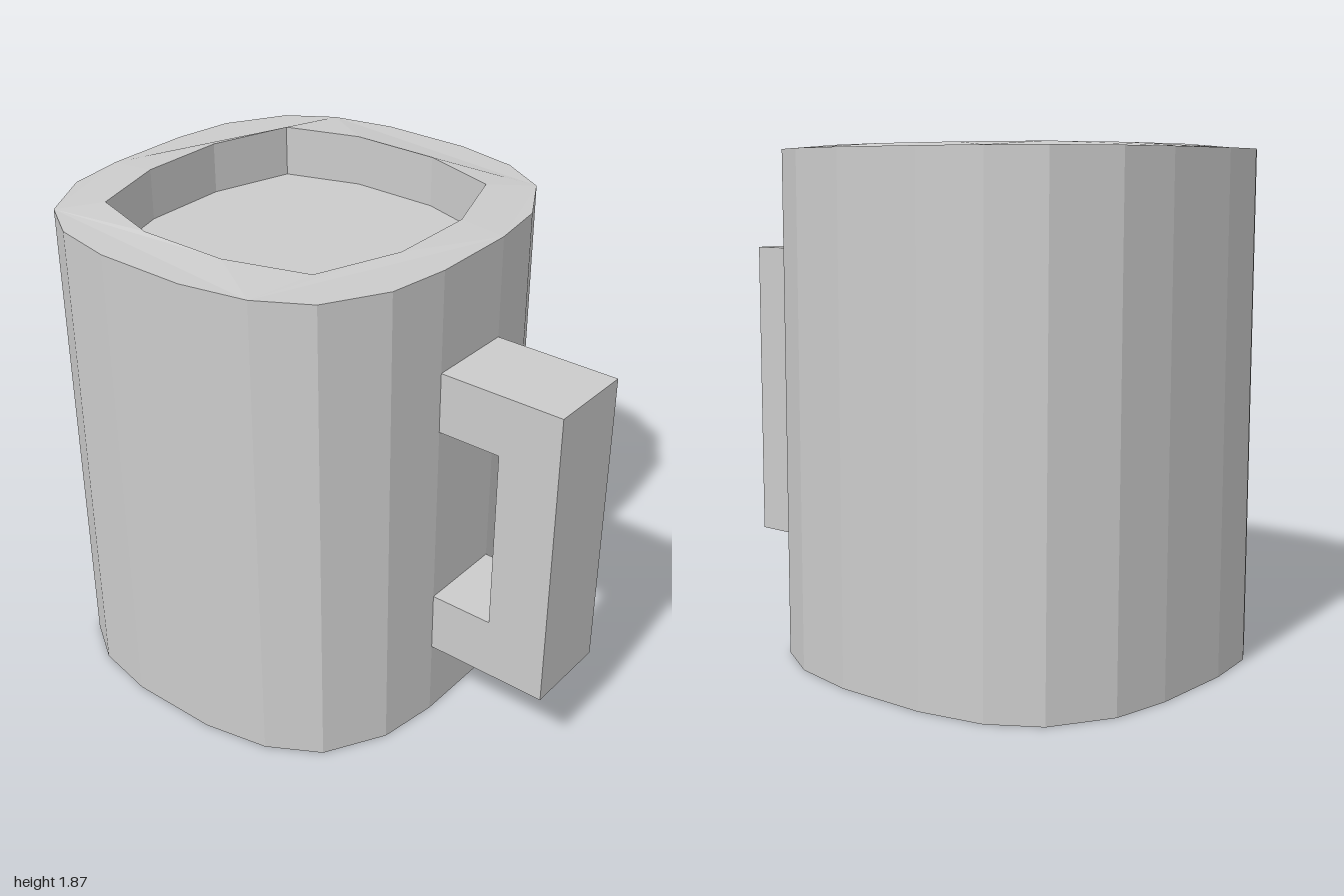
import * as THREE from 'three';

const material = new THREE.MeshStandardMaterial({ color: 0xcccccc, flatShading: true });

const RIM_OUT = 1.85, RIM_IN = 1.865, FLOOR = 1.67;

// Half outlines (x, depth) from right to left; mirrored into closed loops
const mirrorLoop = half => [...half, ...half.map(([x, d]) => [x, -d]).reverse()]
  .map(([x, d]) => new THREE.Vector2(x, d));

const outer = mirrorLoop([
  [0.52, 0.17], [0.485, 0.4], [0.36, 0.62], [0.17, 0.73], [-0.08, 0.78],
  [-0.43, 0.78], [-0.67, 0.73], [-0.84, 0.62], [-0.965, 0.4], [-1, 0.17],
]);
const inner = mirrorLoop([
  [0.345, 0.17], [0.23, 0.485], [-0.08, 0.58],
  [-0.43, 0.58], [-0.72, 0.485], [-0.815, 0.17],
]);

// Vertical wall around a loop, facing outward or inward
function wallGeometry(loop, y0, y1, inward = false) {
  const positions = [];
  loop.forEach((p, i) => {
    const q = loop[(i + 1) % loop.length];
    const [a, b] = inward ? [q, p] : [p, q];
    positions.push(
      a.x, y0, -a.y, b.x, y0, -b.y, b.x, y1, -b.y,
      a.x, y0, -a.y, b.x, y1, -b.y, a.x, y1, -a.y);
  });
  const geometry = new THREE.BufferGeometry();
  geometry.setAttribute('position', new THREE.Float32BufferAttribute(positions, 3));
  geometry.computeVertexNormals();
  return geometry;
}

// Horizontal face filling a shape, facing up or down
function flatGeometry(shape, y, down = false) {
  const geometry = new THREE.ShapeGeometry(shape);
  geometry.rotateX(down ? Math.PI / 2 : -Math.PI / 2);
  return geometry.translate(0, y, 0);
}

// Rim ring, rising slightly toward the opening
function rimGeometry() {
  const shape = new THREE.Shape(outer);
  shape.holes.push(new THREE.Path(inner));
  const geometry = flatGeometry(shape, RIM_OUT);
  const pos = geometry.attributes.position;
  for (let i = 0; i < pos.count; i++) {
    const isInner = inner.some(p => Math.hypot(p.x - pos.getX(i), p.y + pos.getZ(i)) < 1e-4);
    if (isInner) pos.setY(i, RIM_IN);
  }
  geometry.computeVertexNormals();
  return geometry;
}

// Square C-shaped handle
function handleGeometry() {
  const shape = new THREE.Shape([
    [0.52, 0.3], [1, 0.3], [1, 1.47], [0.52, 1.47],
    [0.52, 1.24], [0.765, 1.24], [0.765, 0.535], [0.52, 0.535],
  ].map(([x, y]) => new THREE.Vector2(x, y)));
  return new THREE.ExtrudeGeometry(shape, { depth: 0.34, bevelEnabled: false })
    .translate(0, 0, -0.17);
}

export function createModel() {
  const group = new THREE.Group();
  group.name = 'mug';
  const add = (name, geometry) => {
    const mesh = new THREE.Mesh(geometry, material);
    mesh.name = name;
    group.add(mesh);
  };
  add('outerWall', wallGeometry(outer, 0, RIM_OUT));
  add('base', flatGeometry(new THREE.Shape(outer), 0, true));
  add('rim', rimGeometry());
  add('innerWall', wallGeometry(inner, FLOOR, RIM_IN, true));
  add('drinkSurface', flatGeometry(new THREE.Shape(inner), FLOOR));
  add('handle', handleGeometry());
  return group;
}
